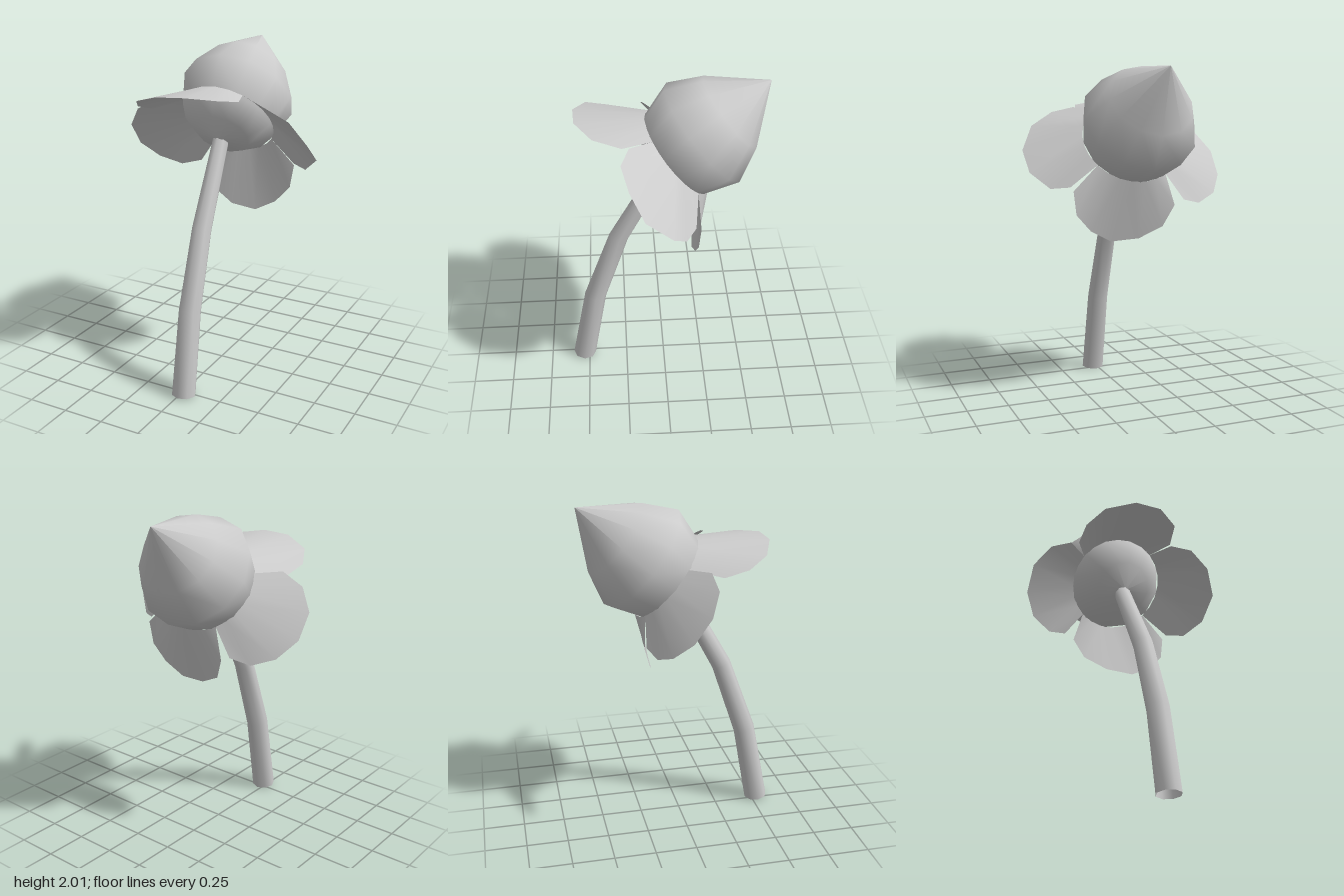
import * as THREE from 'three';

const material = new THREE.MeshStandardMaterial({ color: 0xcccccc, side: THREE.DoubleSide });
const V = (x, y, z) => new THREE.Vector3(x, y, z);

// The bud leans back along AXIS; all petals share its rim circle.
const CENTER = V(0, 1.57, -0.08);
const AXIS = V(-0.04, 0.64, -0.77).normalize();
const RIM_UP = V(0, 0.77, 0.64);
const RIM_RADIUS = 0.29;

function rimPoint(degrees) {
  const a = THREE.MathUtils.degToRad(degrees);
  return CENTER.clone()
    .addScaledVector(V(1, 0, 0), RIM_RADIUS * Math.cos(a))
    .addScaledVector(RIM_UP, RIM_RADIUS * Math.sin(a));
}

// Joins successive rows of points with quads; closed rows wrap around.
function loft(rows, closed) {
  const n = rows[0].length;
  const index = [];
  for (let r = 0; r < rows.length - 1; r++) {
    for (let i = 0; i < (closed ? n : n - 1); i++) {
      const j = (i + 1) % n;
      const a = r * n + i, b = r * n + j;
      index.push(a, a + n, b, b, a + n, b + n);
    }
  }
  const geometry = new THREE.BufferGeometry().setFromPoints(rows.flat());
  geometry.setIndex(index);
  geometry.computeVertexNormals();
  return geometry;
}

function addMesh(group, name, geometry) {
  const mesh = new THREE.Mesh(geometry, material);
  mesh.name = name;
  group.add(mesh);
  return mesh;
}

// Thin petal: from an arc of the rim out to its outer edge
function addPetal(group, name, from, to, edge) {
  const outer = edge.map((p) => V(...p));
  const inner = outer.map((_, i) => rimPoint(from + ((to - from) * i) / (outer.length - 1)));
  addMesh(group, name, loft([inner, outer], false));
}

export function createModel() {
  const group = new THREE.Group();
  group.name = 'flower';

  // Pointed bud with a shallow domed underside
  const profile = [[0, -0.17], [0.17, -0.125], [0.285, -0.02], [0.35, 0.19], [0.25, 0.385], [0, 0.675]];
  const bud = addMesh(group, 'bud',
    new THREE.LatheGeometry(profile.map(([r, h]) => new THREE.Vector2(r, h)), 12));
  bud.position.copy(CENTER);
  bud.quaternion.setFromUnitVectors(V(0, 1, 0), AXIS);

  // Bent, tapering stem with open ends
  const stemRings = [
    { at: V(0.023, 0.01, 0.532), r: 0.073, tilt: 0.1 },
    { at: V(0.018, 0.52, 0.437), r: 0.068, tilt: 0.24 },
    { at: V(0.012, 0.98, 0.275), r: 0.06, tilt: 0.4 },
    { at: V(0, 1.47, 0.005), r: 0.05, tilt: 0.52 },
  ];
  const rows = stemRings.map(({ at, r, tilt }) =>
    Array.from({ length: 8 }, (_, i) => {
      const a = (-i / 8) * Math.PI * 2;
      return V(r * Math.cos(a), 0, r * Math.sin(a)).applyAxisAngle(V(1, 0, 0), -tilt).add(at);
    }));
  addMesh(group, 'stem', loft(rows, true));

  // Four petals around the rim
  addPetal(group, 'frontPetal', 54, 154, [
    [0.23, 1.75, 0.24], [0.18, 1.78, 0.4], [0.03, 1.8, 0.5], [-0.14, 1.79, 0.51],
    [-0.31, 1.74, 0.44], [-0.38, 1.68, 0.32], [-0.37, 1.64, 0.18]]);
  addPetal(group, 'rightPetal', 154, 235, [
    [-0.39, 1.68, 0.1], [-0.52, 1.61, 0.11], [-0.61, 1.49, 0.05], [-0.61, 1.35, -0.05],
    [-0.53, 1.25, -0.15], [-0.4, 1.2, -0.21], [-0.28, 1.23, -0.25]]);
  addPetal(group, 'backPetal', 235, 326, [
    [-0.22, 1.2, -0.25], [-0.16, 1.07, -0.21], [-0.02, 1.0, -0.175], [0.15, 0.99, -0.16],
    [0.28, 1.06, -0.17], [0.37, 1.16, -0.18], [0.39, 1.3, -0.19]]);
  addPetal(group, 'leftPetal', 326, 414, [
    [0.4, 1.32, -0.16], [0.5, 1.31, -0.1], [0.6, 1.4, -0.02], [0.6, 1.52, 0.13],
    [0.52, 1.66, 0.21], [0.38, 1.74, 0.25], [0.26, 1.77, 0.2]]);

  return group;
}
